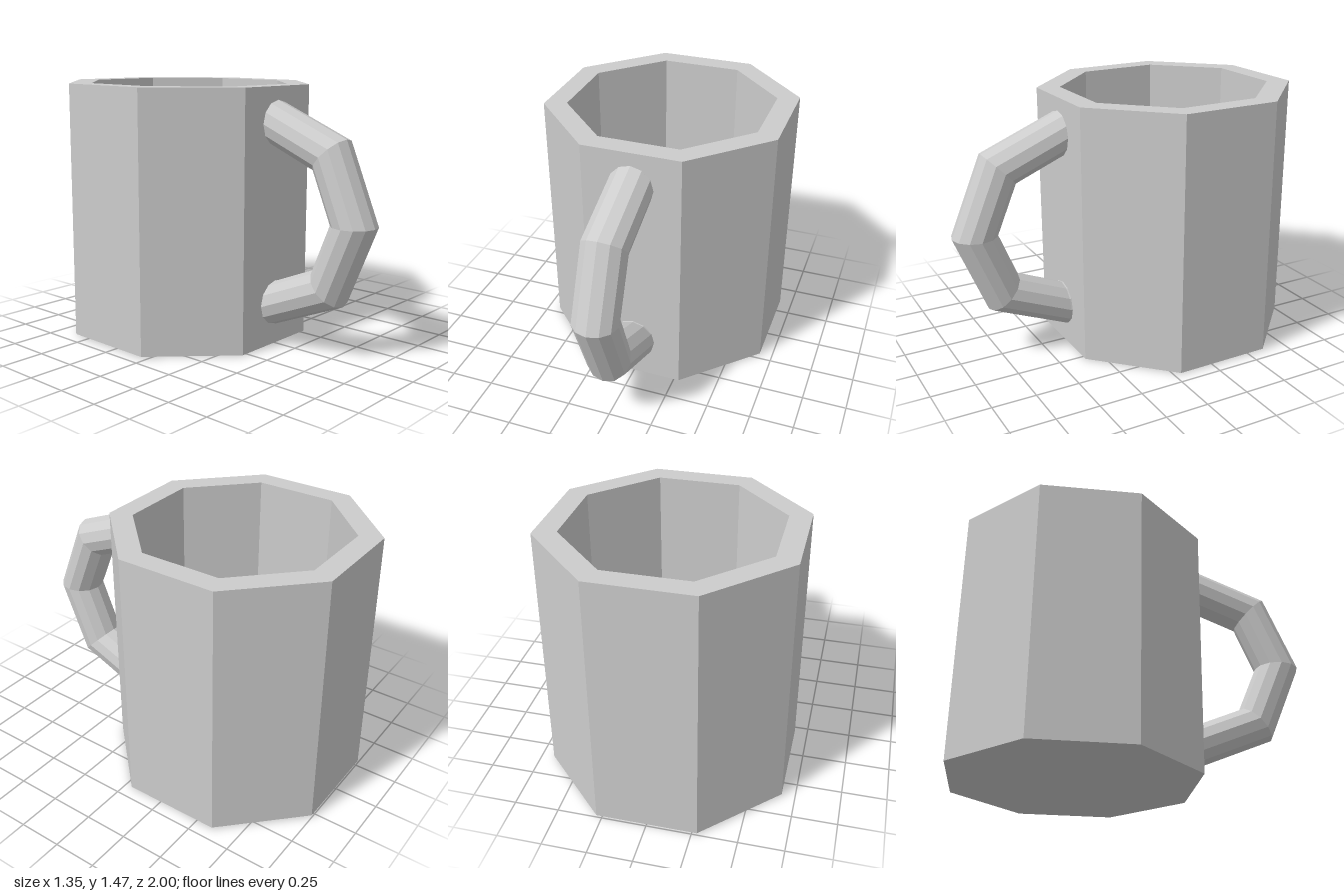
import * as THREE from 'three';

export function createModel() {
  const model = new THREE.Group();
  const grey = new THREE.MeshStandardMaterial({ color: 0xcccccc, flatShading: true, side: THREE.DoubleSide });
  grey.name = 'grey';

  const add = (name, geometry, x, y, z) => {
    const mesh = new THREE.Mesh(geometry, grey);
    mesh.name = name;
    mesh.position.set(x, y, z);
    model.add(mesh);
    return mesh;
  };

  // Eight-sided cup with a thick wall and a hollow inside, leaning very slightly
  const corner = Math.cos(Math.PI / 8);
  const outer = 0.675 / corner, inner = 0.554 / corner;
  const height = 1.464, floor = 0.12;
  const profile = [[0, 0], [outer, 0], [outer, height], [inner, height], [inner, floor], [0, floor]]
    .map(([r, y]) => new THREE.Vector2(r, y));
  const cup = add('cup', new THREE.LatheGeometry(profile, 8, Math.PI / 8), 0, 0.007, -0.322);
  cup.rotation.x = 0.008;

  // Handle: half ring of four straight twelve-sided segments, bulging forward
  const ringRadius = 0.509, tubeRadius = 0.127, ringY = 0.755, ringZ = 0.364;
  const ring = new THREE.TorusGeometry(ringRadius, tubeRadius, 12, 4, Math.PI);
  ring.rotateZ(-Math.PI / 2).rotateY(-Math.PI / 2);
  add('handle', ring, 0, ringY, ringZ);

  // Short stubs that join the handle ends to the wall
  for (const side of [1, -1]) {
    const stub = new THREE.CylinderGeometry(tubeRadius, tubeRadius, 0.04, 12);
    stub.rotateX(Math.PI / 2);
    add(side > 0 ? 'upperHandleJoint' : 'lowerHandleJoint', stub, 0, ringY + side * ringRadius, ringZ - 0.02);
  }
  return model;
}
